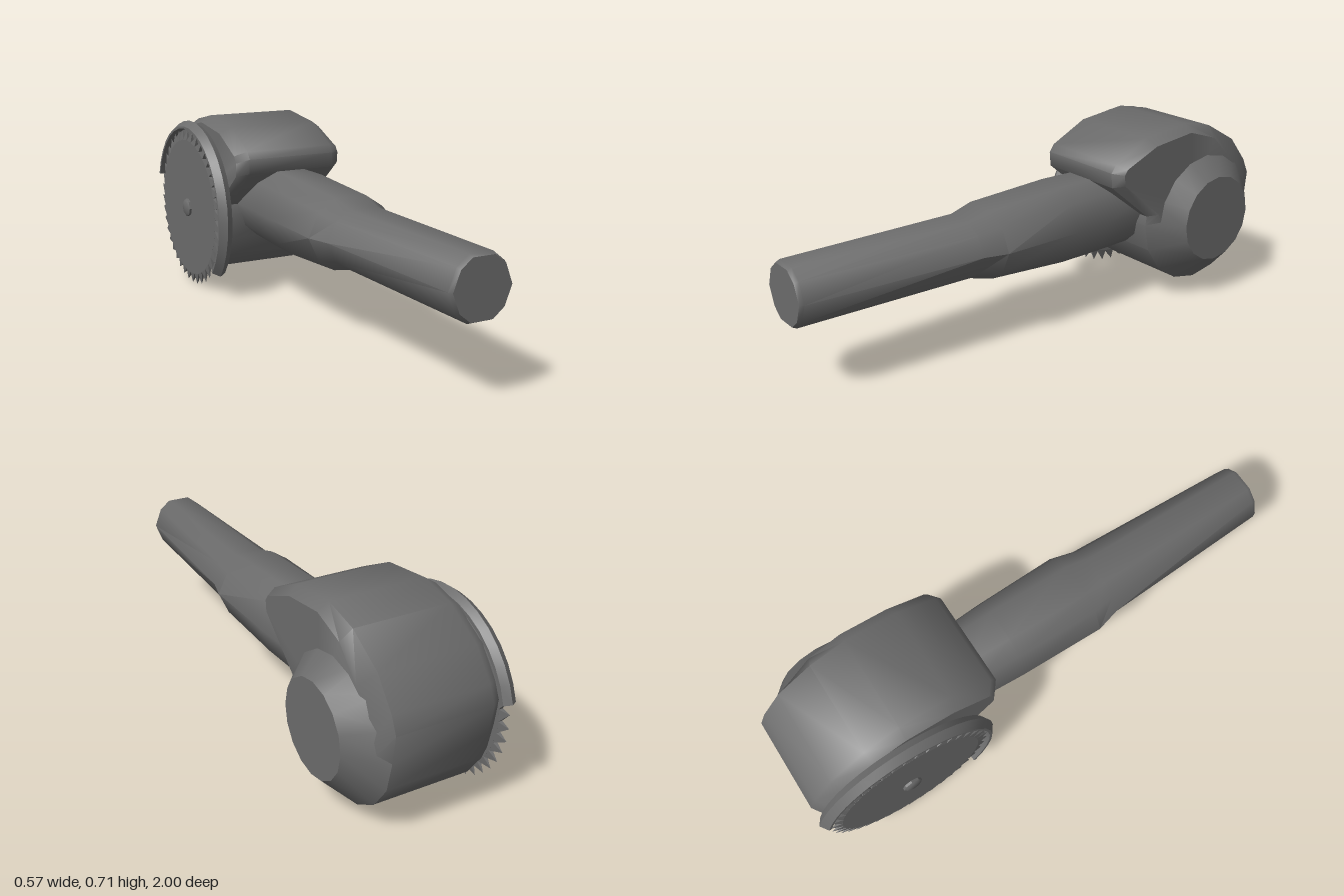
import * as THREE from 'three';
import { toCreasedNormals } from 'three/addons/utils/BufferGeometryUtils.js';

const material = new THREE.MeshStandardMaterial({ color: 0x6c6c6c });
const BLADE = { y: 0.326, z: -0.652 };   // saw axis
const MOTOR = { y: 0.335, z: -0.695 };   // motor axis

function part(name, geometry, crease = 0.6) {
  const mesh = new THREE.Mesh(toCreasedNormals(geometry, crease), material);
  mesh.name = name;
  return mesh;
}

// Triangle list -> geometry, wound so that the enclosed volume is positive
function solid(tris) {
  const a = new THREE.Vector3();
  let volume = 0;
  for (const [p, q, r] of tris) volume += p.dot(a.crossVectors(q, r));
  const pos = [];
  for (const [p, q, r] of tris) {
    for (const v of volume < 0 ? [p, r, q] : [p, q, r]) pos.push(v.x, v.y, v.z);
  }
  const g = new THREE.BufferGeometry();
  g.setAttribute('position', new THREE.Float32BufferAttribute(pos, 3));
  return g;
}

// Skin through rings of equal length, both ends closed with fans
function loft(rings) {
  const tris = [];
  const n = rings[0].length;
  for (let i = 0; i < rings.length - 1; i++) {
    for (let j = 0; j < n; j++) {
      const k = (j + 1) % n;
      const [a, b, c, d] = [rings[i][j], rings[i][k], rings[i + 1][k], rings[i + 1][j]];
      tris.push([a, b, c], [a, c, d]);
    }
  }
  const cap = (ring, flip) => {
    const m = ring.reduce((s, v) => s.add(v), new THREE.Vector3()).divideScalar(n);
    for (let j = 0; j < n; j++) {
      const k = (j + 1) % n;
      tris.push(flip ? [m, ring[k], ring[j]] : [m, ring[j], ring[k]]);
    }
  };
  cap(rings[0], true);
  cap(rings[rings.length - 1], false);
  return solid(tris);
}

const polar = (c, x, r, a) =>
  new THREE.Vector3(x, c.y + r * Math.sin(a), c.z + r * Math.cos(a));

// Cylinder lying along x, r0 at x0 and r1 at x1
function axle(name, c, x0, x1, r0, r1, sides) {
  const g = new THREE.CylinderGeometry(r1, r0, x1 - x0, sides);
  g.rotateZ(-Math.PI / 2);
  g.translate((x0 + x1) / 2, c.y, c.z);
  return part(name, g, 0.7);
}

// Motor housing with hood: outline in (z, y) and its smaller right face
function motorHousing() {
  const hood = [[-0.42, 0.372], [-0.235, 0.525], [-0.23, 0.582], [-0.25, 0.61], [-0.4, 0.685],
    [-0.6, 0.71], [-0.74, 0.68], [-0.88, 0.6], [-0.96, 0.5], [-0.988, 0.44]];
  const hoodFace = [[-0.445, 0.385], [-0.265, 0.535], [-0.26, 0.577], [-0.275, 0.598], [-0.42, 0.66],
    [-0.6, 0.682], [-0.73, 0.64], [-0.83, 0.54], [-0.89, 0.46], [-0.92, 0.39]];
  const ring = (x, points, r) => {
    const out = points.map(([z, y]) => new THREE.Vector3(x, y, z));
    for (let i = 0; i <= 8; i++) out.push(polar(MOTOR, x, r, Math.PI * (1 + i / 8)));
    return out;
  };
  const inner = ring(-0.225, hood, 0.28).map(v =>
    v.set(v.x, 0.38 + (v.y - 0.38) * 0.918, -0.64 + (v.z + 0.64) * 0.918));
  return part('motorHousing', loft([
    inner, ring(-0.183, hood, 0.28), ring(0.175, hood, 0.28), ring(0.215, hoodFace, 0.232),
  ]), 0.88);
}

// Ten-sided grip, stations are [z, half width, half height]
function handle() {
  const quarter = [[1, 0], [0.76, 0.67], [0.38, 1]];
  const section = [
    ...quarter,
    ...quarter.slice().reverse().map(([x, y]) => [-x, y]),
    ...quarter.slice(1).map(([x, y]) => [-x, -y]),
    ...quarter.slice(1).reverse().map(([x, y]) => [x, -y]),
  ];
  const stations = [[1, 0.107, 0.099], [0.985, 0.114, 0.106], [0.32, 0.144, 0.106],
    [0.23, 0.168, 0.129], [-0.1, 0.161, 0.15], [-0.25, 0.152, 0.15], [-0.6, 0.14, 0.14]];
  return part('handle', loft(stations.map(([z, w, h]) =>
    section.map(([x, y]) => new THREE.Vector3(-0.007 + x * w, 0.376 + y * h, z)))), 0.85);
}

// Sweep of an (r, x) section around the blade axis
function guardArc(name, section) {
  const rings = [];
  for (let i = 0; i <= 20; i++) {
    const a = THREE.MathUtils.degToRad(-41 + (205 * i) / 20);
    rings.push(section.map(([r, x]) => polar(BLADE, x, r, a)));
  }
  return part(name, loft(rings));
}

function bladeGuard() {
  const g = new THREE.Group();
  g.name = 'bladeGuard';
  g.add(
    guardArc('guardRim', [[0.32, -0.225], [0.343, -0.225], [0.358, -0.25], [0.337, -0.279], [0.327, -0.279]]),
    guardArc('guardPlate', [[0.15, -0.222], [0.33, -0.222], [0.33, -0.25], [0.15, -0.25]]),
  );
  return g;
}

// Disc with raked teeth that narrow to a point
function sawBlade() {
  const g = new THREE.Group();
  g.name = 'sawBlade';
  const teeth = 40;
  const step = (Math.PI * 2) / teeth;
  const tris = [];
  for (let i = 0; i < teeth; i++) {
    const a = i * step;
    const [f0, f1] = [a, a + step].map(t => polar(BLADE, -0.273, 0.279, t));
    const [b0, b1] = [a, a + step].map(t => polar(BLADE, -0.257, 0.279, t));
    const tip = polar(BLADE, -0.265, 0.324, a + step * 0.1);
    tris.push([f0, f1, tip], [b1, b0, tip], [f1, b1, tip], [b0, f0, tip],
      [f0, b0, b1], [f0, b1, f1]);
  }
  g.add(
    axle('bladeDisc', BLADE, -0.273, -0.257, 0.28, 0.28, teeth),
    part('bladeTeeth', solid(tris), 0.1),
    axle('spindle', BLADE, -0.258, -0.2, 0.06, 0.06, 12),
    axle('boltBase', BLADE, -0.282, -0.27, 0.037, 0.037, 8),
    axle('boltHead', BLADE, -0.288, -0.282, 0.028, 0.037, 8),
  );
  return g;
}

export function createModel() {
  const model = new THREE.Group();
  model.name = 'handheldSaw';
  model.add(
    motorHousing(),
    axle('motorCap', MOTOR, 0.175, 0.285, 0.281, 0.17, 16),
    handle(),
    bladeGuard(),
    sawBlade(),
  );
  return model;
}
